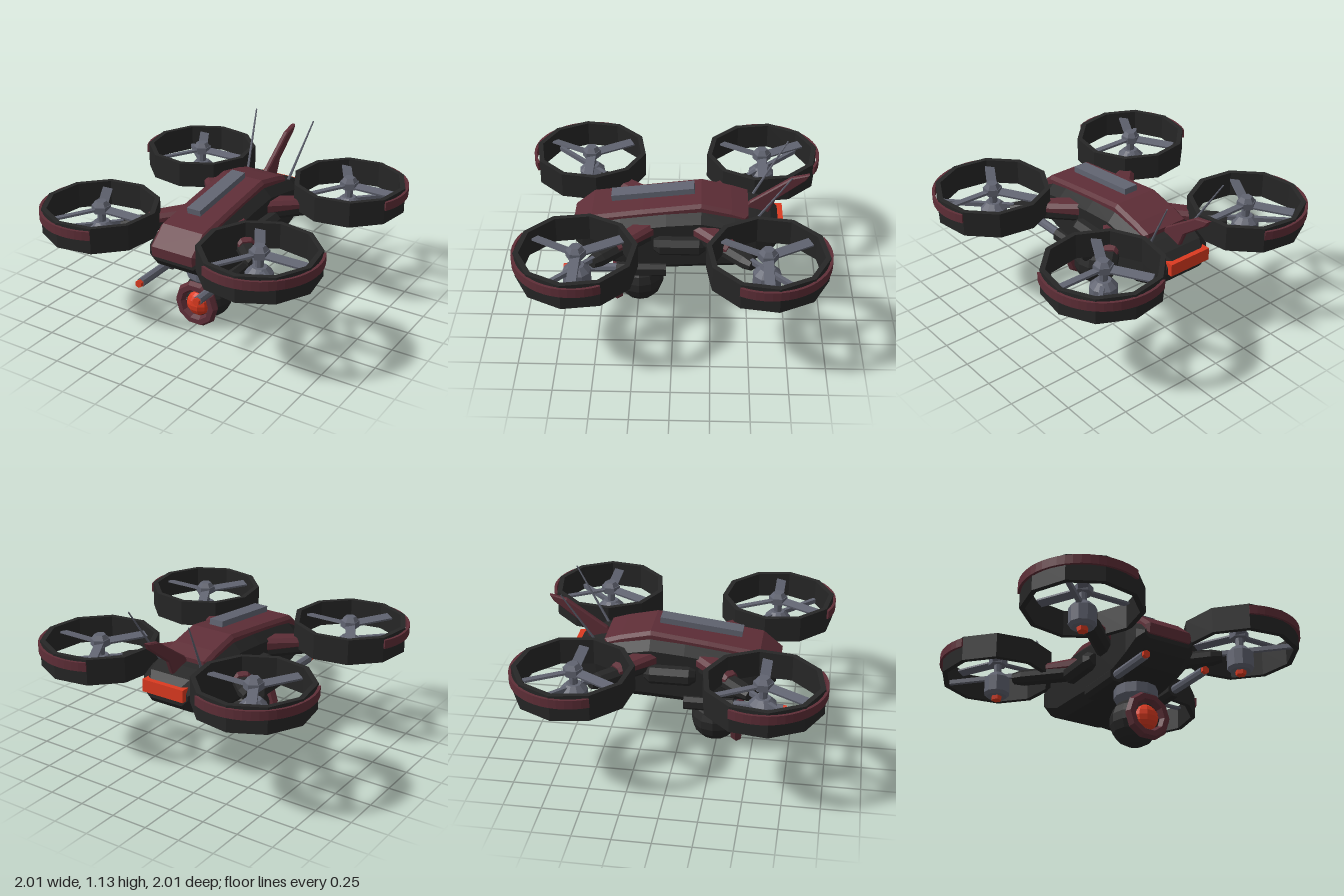
import * as THREE from 'three';

const paint = (name, color) => Object.assign(new THREE.MeshStandardMaterial({ color }), { name });

// Adds a faceted mesh to a parent
function add(parent, name, geo, mat, x = 0, y = 0, z = 0) {
  const g = geo.index ? geo.toNonIndexed() : geo;
  g.computeVertexNormals();
  const mesh = new THREE.Mesh(g, mat);
  mesh.name = name;
  mesh.position.set(x, y, z);
  parent.add(mesh);
  return mesh;
}

// Chamfered eight-sided hull through stations [z, halfWidth, bottom, top, chamfer], back to front
function loft(stations) {
  const rings = stations.map(([z, w, b, t, ch]) => {
    const c = Math.min(ch, (t - b) * 0.4), u = w - c;
    return [[-u, b], [u, b], [w, b + c], [w, t - c], [u, t], [-u, t], [-w, t - c], [-w, b + c]]
      .map(([x, y]) => [x, y, z]);
  });
  const pos = [], tri = (...p) => p.forEach((v) => pos.push(...v));
  for (let i = 0; i < rings.length - 1; i++) {
    for (let j = 0; j < 8; j++) {
      const k = (j + 1) % 8, a = rings[i], b = rings[i + 1];
      tri(a[j], a[k], b[k]);
      tri(a[j], b[k], b[j]);
    }
  }
  const back = rings[0], front = rings[rings.length - 1];
  for (let j = 1; j < 7; j++) {
    tri(front[0], front[j], front[j + 1]);
    tri(back[0], back[j + 1], back[j]);
  }
  const g = new THREE.BufferGeometry();
  g.setAttribute('position', new THREE.Float32BufferAttribute(pos, 3));
  return g;
}

// Side outline of [z, y] points extruded across x, with bevelled edges
function slab(points, width, bevel) {
  const shape = new THREE.Shape(points.map(([z, y]) => new THREE.Vector2(z, y)));
  const g = new THREE.ExtrudeGeometry(shape, {
    depth: width - 2 * bevel, bevelEnabled: true, bevelThickness: bevel,
    bevelSize: bevel, bevelOffset: -bevel, bevelSegments: 1,
  });
  return g.translate(0, 0, -width / 2 + bevel).rotateY(-Math.PI / 2);
}

const cyl = (top, bottom, h, sides) => new THREE.CylinderGeometry(top, bottom, h, sides);
const box = (x, y, z) => new THREE.BoxGeometry(x, y, z);

export function createModel() {
  const model = new THREE.Group();
  model.name = 'quadcopterDrone';
  const black = paint('black', 0x262626);
  const maroon = paint('maroon', 0x5e2e37);
  const grey = paint('grey', 0x616471);
  const orange = paint('orangeRed', 0xdb3a20);

  // Fuselage
  add(model, 'hull', loft([
    [-0.69, 0.17, 0.55, 0.68, 0.05],
    [-0.64, 0.21, 0.5, 0.72, 0.06],
    [-0.54, 0.23, 0.445, 0.75, 0.06],
    [-0.4, 0.23, 0.395, 0.78, 0.06],
    [-0.18, 0.23, 0.385, 0.82, 0.06],
    [0.05, 0.23, 0.37, 0.8, 0.06],
    [0.35, 0.23, 0.395, 0.76, 0.06],
    [0.5, 0.23, 0.44, 0.73, 0.06],
    [0.6, 0.215, 0.505, 0.69, 0.06],
    [0.65, 0.18, 0.56, 0.64, 0.05],
  ]), black);
  add(model, 'canopy', slab([
    [0.665, 0.59], [0.67, 0.66], [0.54, 0.77], [0.2, 0.82], [-0.18, 0.87],
    [-0.38, 0.825], [-0.49, 0.79], [-0.49, 0.72], [0.2, 0.7], [0.58, 0.59],
  ], 0.345, 0.022), maroon);
  add(model, 'roofPanel', box(0.1, 0.04, 0.55), grey, 0, 0.868, 0.14).rotation.x = 0.12;
  add(model, 'tailFin', slab([
    [-0.46, 0.74], [-0.5, 0.8], [-0.77, 0.99], [-0.885, 1.015], [-0.86, 0.97], [-0.67, 0.82], [-0.62, 0.7],
  ], 0.036, 0.008), maroon);
  add(model, 'tailLight', box(0.315, 0.085, 0.07), orange, 0, 0.638, -0.69);

  for (const s of [-1, 1]) {
    // Antenna leaning back and outwards
    const from = new THREE.Vector3(s * 0.16, 0.72, -0.51), to = new THREE.Vector3(s * 0.23, 1.125, -0.75);
    const dir = to.clone().sub(from);
    const mid = from.clone().add(to).multiplyScalar(0.5);
    add(model, 'antenna', cyl(0.005, 0.01, dir.length(), 6), grey, mid.x, mid.y, mid.z)
      .quaternion.setFromUnitVectors(new THREE.Vector3(0, 1, 0), dir.normalize());
    // Side pod
    add(model, 'sidePod', loft([
      [-0.21, 0.05, 0.565, 0.645, 0.03], [-0.17, 0.08, 0.545, 0.665, 0.035],
      [0.09, 0.08, 0.545, 0.665, 0.035], [0.13, 0.05, 0.565, 0.645, 0.03],
    ]), black, s * 0.23);
    // Forward barrel with its housing
    add(model, 'barrelHousing', loft([
      [0.05, 0.048, 0.347, 0.443, 0.025], [0.38, 0.048, 0.347, 0.443, 0.025],
    ]), black, s * 0.22);
    add(model, 'barrel', cyl(0.03, 0.03, 0.36, 8), grey, s * 0.22, 0.395, 0.53).rotation.x = Math.PI / 2;
    add(model, 'barrelTip', cyl(0.026, 0.026, 0.04, 6), orange, s * 0.22, 0.395, 0.715).rotation.x = Math.PI / 2;
  }

  // Camera gimbal
  add(model, 'gimbalCollar', cyl(0.145, 0.145, 0.07, 12), grey, 0, 0.355, 0.25);
  add(model, 'gimbalCollarBase', cyl(0.145, 0.11, 0.04, 12), grey, 0, 0.3, 0.25);
  add(model, 'cameraBall', new THREE.SphereGeometry(0.165, 12, 9), black, 0, 0.165, 0.237);
  add(model, 'cameraRing', new THREE.TorusGeometry(0.128, 0.036, 6, 10), maroon, 0, 0.155, 0.39);
  add(model, 'cameraLens', new THREE.SphereGeometry(0.088, 10, 8), orange, 0, 0.15, 0.365).scale.z = 0.8;

  // Rotor units: local +z runs outwards along each diagonal
  const reach = 0.6 * Math.SQRT2;
  const ductProfile = [[0.355, 0.65], [0.39, 0.65], [0.39, 0.825], [0.355, 0.825], [0.355, 0.65]]
    .map(([r, y]) => new THREE.Vector2(r, y));
  const arc = new THREE.Shape();
  arc.absarc(0, 0, 0.403, Math.PI * 0.1, Math.PI * 0.9, false);
  arc.absarc(0, 0, 0.385, Math.PI * 0.9, Math.PI * 0.1, true);

  for (const sx of [-1, 1]) {
    for (const sz of [-1, 1]) {
      const unit = new THREE.Group();
      unit.name = 'rotorUnit';
      unit.rotation.y = Math.atan2(sx, sz);
      model.add(unit);

      // Arm and strut
      add(unit, 'arm', loft([
        [0.2, 0.06, 0.6, 0.7, 0.03], [0.66, 0.058, 0.605, 0.7, 0.03], [0.73, 0.04, 0.62, 0.685, 0.02],
      ]), black);
      add(unit, 'armCover', loft([
        [0.2, 0.072, 0.645, 0.745, 0.025], [0.5, 0.062, 0.65, 0.725, 0.025], [0.535, 0.05, 0.655, 0.71, 0.02],
      ]), maroon);
      add(unit, 'strut', box(0.028, 0.03, 0.52), grey, 0, 0.675, 0.96);

      // Duct with its outer band
      add(unit, 'duct', new THREE.LatheGeometry(ductProfile, 10), black, 0, 0, reach);
      add(unit, 'ductBand', new THREE.ExtrudeGeometry(arc, { depth: 0.06, bevelEnabled: false, curveSegments: 10 })
        .rotateX(Math.PI / 2), maroon, 0, 0.81, reach);

      // Motor stack
      add(unit, 'motor', cyl(0.09, 0.09, 0.11, 10), grey, 0, 0.605, reach);
      add(unit, 'motorBase', cyl(0.09, 0.07, 0.02, 10), grey, 0, 0.54, reach);
      add(unit, 'motorTop', cyl(0.05, 0.09, 0.04, 10), grey, 0, 0.68, reach);
      add(unit, 'shaft', cyl(0.028, 0.028, 0.1, 8), grey, 0, 0.74, reach);
      add(unit, 'motorLight', cyl(0.038, 0.034, 0.03, 6), orange, 0, 0.517, reach);

      // Propeller, kept at the same world angle on every unit
      const propeller = new THREE.Group();
      propeller.name = 'propeller';
      propeller.position.set(0, 0.785, reach);
      propeller.rotation.y = -unit.rotation.y;
      unit.add(propeller);
      add(propeller, 'hub', cyl(0.065, 0.065, 0.045, 6), grey, 0, 0.005, 0);
      add(propeller, 'hubCap', cyl(0.038, 0.06, 0.03, 6), grey, 0, 0.042, 0);
      for (let i = 0; i < 3; i++) {
        const blade = box(0.29, 0.014, 0.066).rotateX(0.22).translate(0.175, 0, 0);
        add(propeller, 'blade', blade, grey).rotation.y = (i * Math.PI * 2) / 3;
      }
    }
  }
  return model;
}
